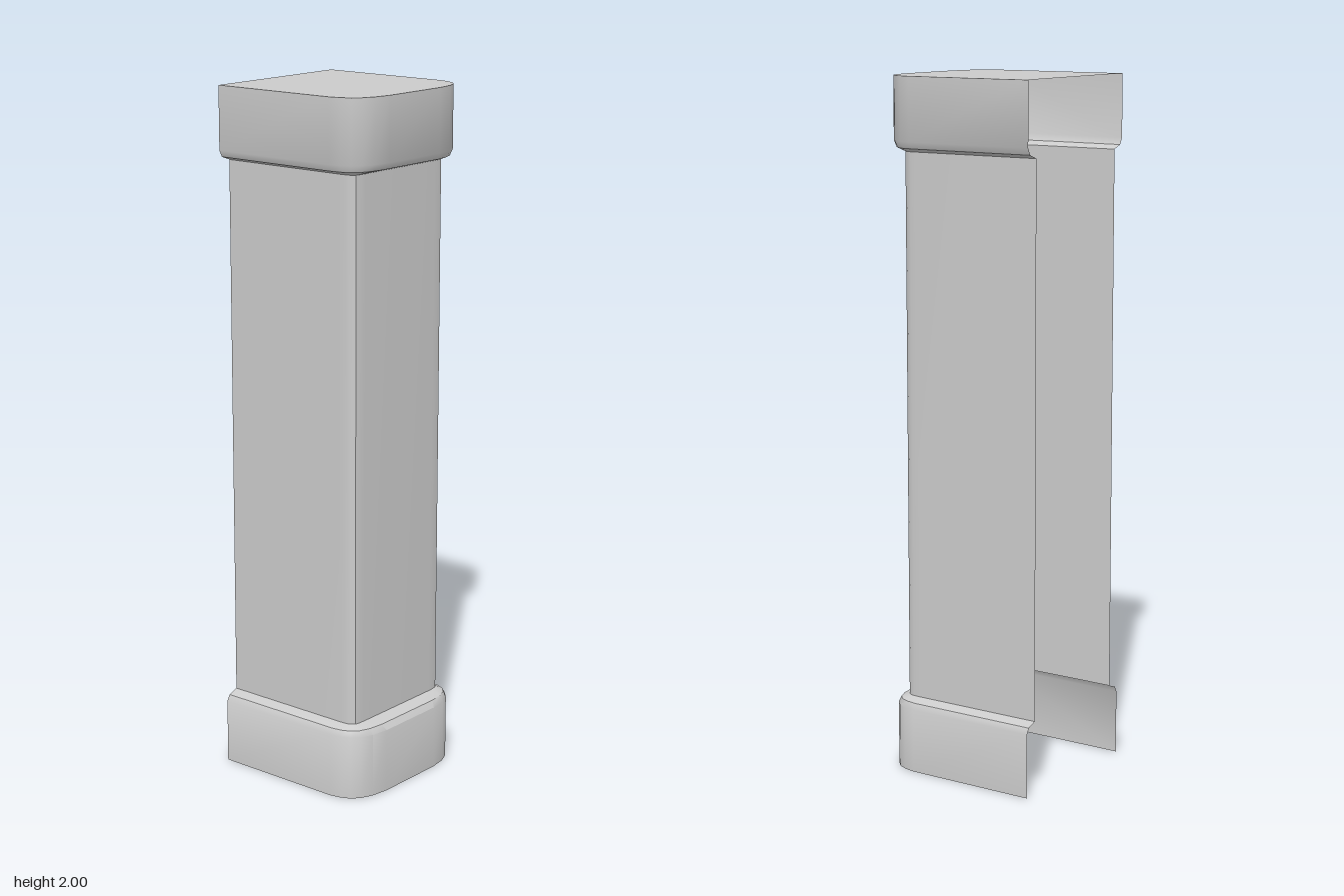
import * as THREE from 'three';
import { toCreasedNormals } from 'three/addons/utils/BufferGeometryUtils.js';

const material = new THREE.MeshStandardMaterial({ color: 0xcccccc, side: THREE.DoubleSide });
const BACK = -0.25; // open side, where the half column meets a wall

// Rounded corner outlines [x, z], from the +z side round to the +x side
const CAP = [[0.145, 0.24], [0.18, 0.233], [0.207, 0.22], [0.227, 0.198], [0.242, 0.163], [0.25, 0.11]];
const SHAFT = [[0.15, 0.2], [0.17, 0.199], [0.184, 0.196], [0.196, 0.186], [0.199, 0.17], [0.2, 0.15]];

// U-shaped plan, blended from shaft (t = 0) to cap (t = 1)
function plan(t) {
  const corner = SHAFT.map(([x, z], i) => [
    THREE.MathUtils.lerp(x, CAP[i][0], t),
    THREE.MathUtils.lerp(z, CAP[i][1], t),
  ]);
  const half = [[BACK, corner[0][1]], ...corner];
  return [...half, ...half.map(([x, z]) => [x, -z]).reverse()];
}

// Open wall lofted through rows of [height, blend], listed from bottom to top
function wall(name, rows) {
  const positions = [];
  const index = [];
  const n = plan(0).length;
  rows.forEach(([y, t], r) => {
    plan(t).forEach(([x, z], i) => {
      positions.push(x, y, z);
      if (r === 0 || i === 0) return;
      const d = r * n + i, c = d - 1, b = d - n, a = b - 1;
      index.push(a, b, d, a, d, c);
    });
  });
  const geometry = new THREE.BufferGeometry();
  geometry.setAttribute('position', new THREE.Float32BufferAttribute(positions, 3));
  geometry.setIndex(index);
  const mesh = new THREE.Mesh(toCreasedNormals(geometry, 0.6), material);
  mesh.name = name;
  return mesh;
}

export function createModel() {
  const group = new THREE.Group();
  group.name = 'halfColumn';

  // Base, shaft and capital share one outline family
  group.add(wall('base', [[0, 1], [0.187, 1], [0.204, 0.75], [0.215, 0]]));
  group.add(wall('shaft', [[0.215, 0], [1.79, 0]]));
  group.add(wall('capital', [[1.79, 0], [1.801, 0.75], [1.82, 1], [2, 1]]));

  // Flat lid on the capital
  const outline = new THREE.Shape(plan(1).map(([x, z]) => new THREE.Vector2(x, -z)));
  const top = new THREE.Mesh(new THREE.ShapeGeometry(outline).rotateX(-Math.PI / 2), material);
  top.position.y = 2;
  top.name = 'topLid';
  group.add(top);

  return group;
}
